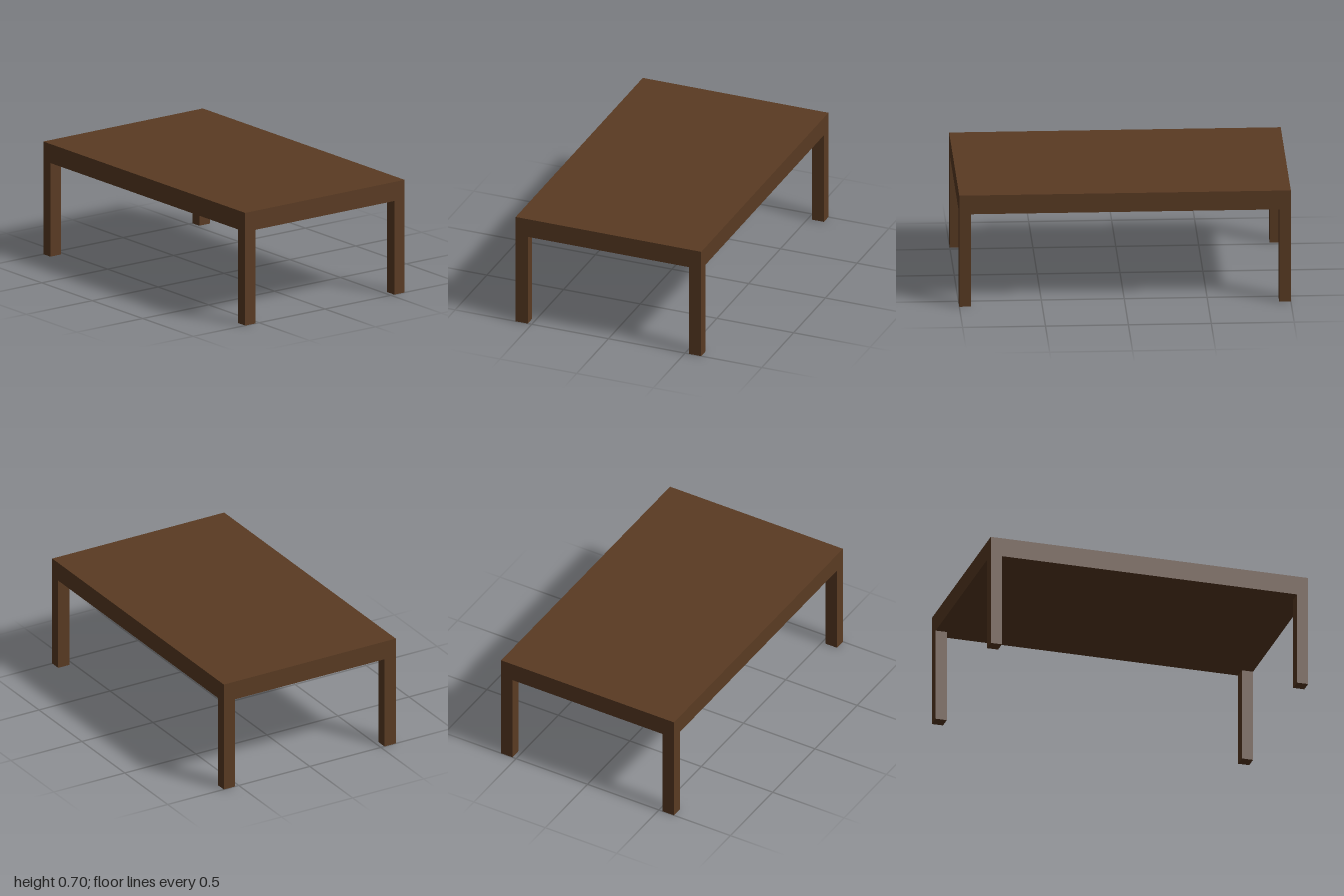
import * as THREE from 'three';

const WIDTH = 2, DEPTH = 1.21, HEIGHT = 0.705, LEG_HEIGHT = 0.586;
const LEG_X = 0.07, LEG_Z = 0.079;

export function createModel() {
  const table = new THREE.Group();
  table.name = 'table';

  const wood = new THREE.MeshStandardMaterial({ color: 0x5a3b23 });
  wood.name = 'dark brown wood';

  const addBox = (name, size, position) => {
    const mesh = new THREE.Mesh(new THREE.BoxGeometry(...size), wood);
    mesh.name = name;
    mesh.position.set(...position);
    table.add(mesh);
  };

  // Thick solid top
  const thickness = HEIGHT - LEG_HEIGHT;
  addBox('tableTop', [WIDTH, thickness, DEPTH], [0, LEG_HEIGHT + thickness / 2, 0]);

  // Four legs flush with the corners
  for (const [end, sz] of [['front', 1], ['back', -1]]) {
    for (const [side, sx] of [['Left', 1], ['Right', -1]]) {
      addBox(`${end}${side}Leg`, [LEG_X, LEG_HEIGHT, LEG_Z],
        [sx * (WIDTH - LEG_X) / 2, LEG_HEIGHT / 2, sz * (DEPTH - LEG_Z) / 2]);
    }
  }

  return table;
}
